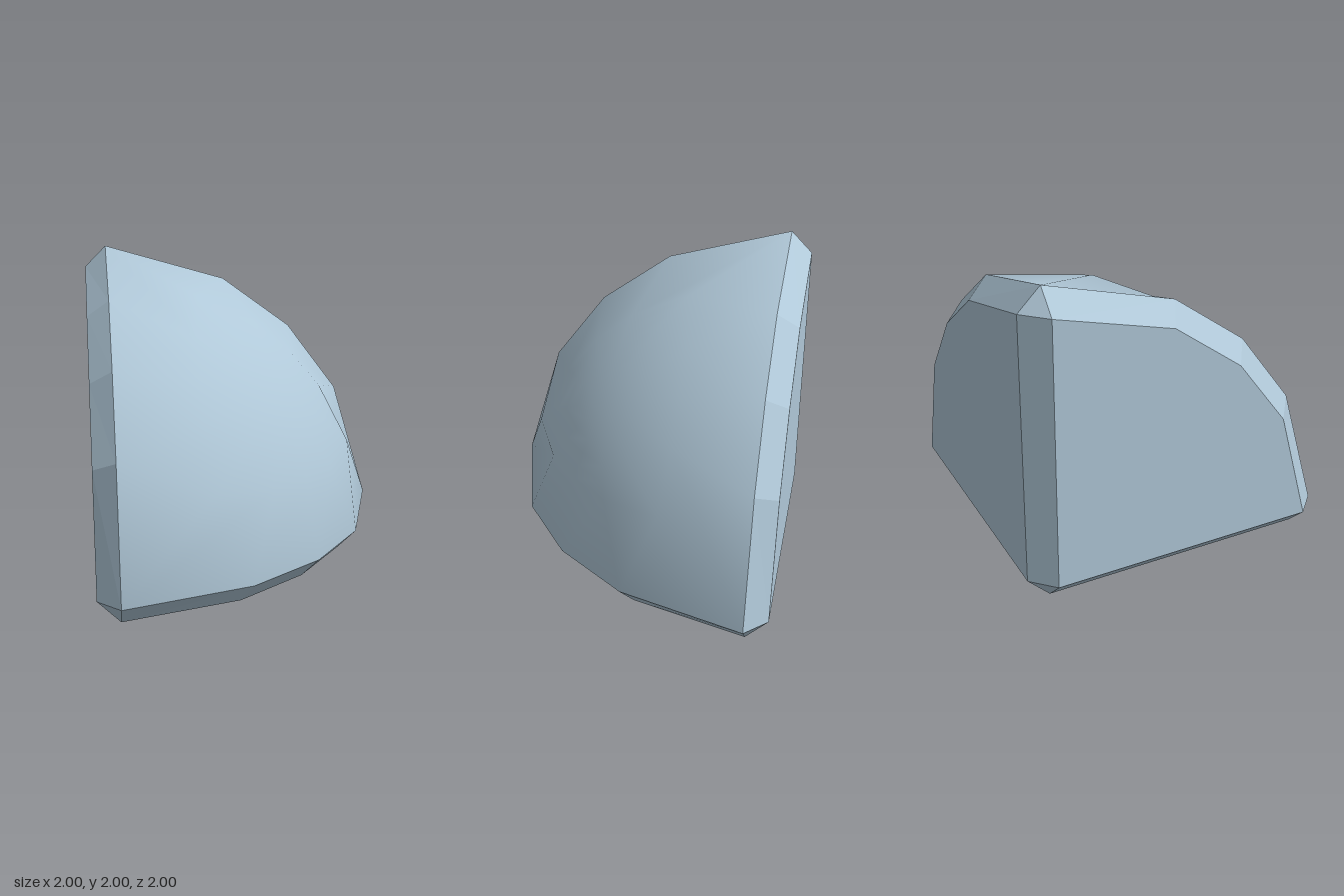
import * as THREE from 'three';

const B = 0.14; // bevel width
const N = 6; // rings of the dome between inner loop and pole

// Rotate a point through the axes: x -> y -> z -> x
const cycle = (p, k) => (k === 0 ? p : cycle([p[2], p[0], p[1]], k - 1));

// Convex flat polygons as one faceted mesh, each turned outwards
function facets(name, polygons, material) {
  const pos = [];
  const inside = new THREE.Vector3(0.7, 0.7, 0.7);
  for (const poly of polygons) {
    const v = poly.map((p) => new THREE.Vector3(...p));
    for (let i = 1; i < v.length - 1; i++) {
      const [a, b, c] = [v[0], v[i], v[i + 1]];
      const n = b.clone().sub(a).cross(c.clone().sub(a));
      const out = n.dot(a.clone().sub(inside)) > 0;
      for (const p of out ? [a, b, c] : [a, c, b]) pos.push(p.x, p.y, p.z);
    }
  }
  const g = new THREE.BufferGeometry();
  g.setAttribute('position', new THREE.Float32BufferAttribute(pos, 3));
  g.computeVertexNormals();
  const mesh = new THREE.Mesh(g, material);
  mesh.name = name;
  return mesh;
}

// Rounded outer surface: coarse rim, inner loop, then rings closing on the pole
function dome(rim, inner, material) {
  const R = 2.01;
  const pole = new THREE.Vector3(1, 1, 1).normalize();
  const loops = [rim.map((p) => new THREE.Vector3(...p))];
  for (let j = 0; j <= N; j++) {
    loops.push(inner.map((p) =>
      new THREE.Vector3(...p).normalize().lerp(pole, j / N).normalize().multiplyScalar(R)));
  }
  const pos = [], nor = [], idx = [], m = rim.length;
  for (const loop of loops) for (const p of loop) {
    pos.push(p.x, p.y, p.z);
    const n = p.clone().normalize();
    nor.push(n.x, n.y, n.z);
  }
  for (let j = 0; j < loops.length - 1; j++) for (let i = 0; i < m; i++) {
    const a = j * m + i, b = j * m + (i + 1) % m;
    idx.push(a, b, b + m);
    if (j < loops.length - 2) idx.push(a, b + m, a + m);
  }
  // the last ring is a fan, since its top points coincide
  const g = new THREE.BufferGeometry();
  g.setAttribute('position', new THREE.Float32BufferAttribute(pos, 3));
  g.setAttribute('normal', new THREE.Float32BufferAttribute(nor, 3));
  g.setIndex(idx);
  const mesh = new THREE.Mesh(g, material);
  mesh.name = 'roundedFace';
  return mesh;
}

export function createModel() {
  const paleBlue = new THREE.MeshStandardMaterial({ color: 0xb0c8d8 });
  paleBlue.name = 'paleBlue';

  // One third of each outline, repeated around the three axes
  const rimArc = [[2, B, B], [1.76, 0.95, B], [1.415, 1.415, B], [0.95, 1.76, B], [B, 2, B]];
  const innerArc = [[1.74, 0.72, 0.72], [1.54, 1.1, 0.67], [1.34, 1.34, 0.67], [1.1, 1.54, 0.67]];
  const flatArc = [[2 - B, B, 0], [1.65, 0.88, 0], [1.32, 1.32, 0], [0.88, 1.65, 0], [B, 2 - B, 0]];

  const rim = [], inner = [], flats = [], bevels = [];
  for (let k = 0; k < 3; k++) {
    const turn = (p) => cycle(p, k);
    rim.push(...rimArc.slice(0, 4).map(turn));
    inner.push(...innerArc.map(turn));
    flats.push([[B, B, 0], ...flatArc].map(turn));
    // bevel along the curved edge
    for (let i = 0; i < 4; i++) {
      bevels.push([flatArc[i], flatArc[i + 1], rimArc[i + 1], rimArc[i]].map(turn));
    }
    // bevel along the straight edge and the small triangle at its tip
    bevels.push([[B, B, 0], [B, 0, B], [2 - B, 0, B], [2 - B, B, 0]].map(turn));
    bevels.push([[2 - B, B, 0], [2, B, B], [2 - B, 0, B]].map(turn));
  }
  // triangle at the square corner
  bevels.push([[B, B, 0], [B, 0, B], [0, B, B]]);

  const model = new THREE.Group();
  model.name = 'roundedCorner';
  const body = new THREE.Group();
  body.name = 'body';
  body.position.set(-1, 0, -1);
  body.add(
    dome(rim, inner, paleBlue),
    facets('flatFaces', flats, paleBlue),
    facets('bevels', bevels, paleBlue),
  );
  model.add(body);
  return model;
}
